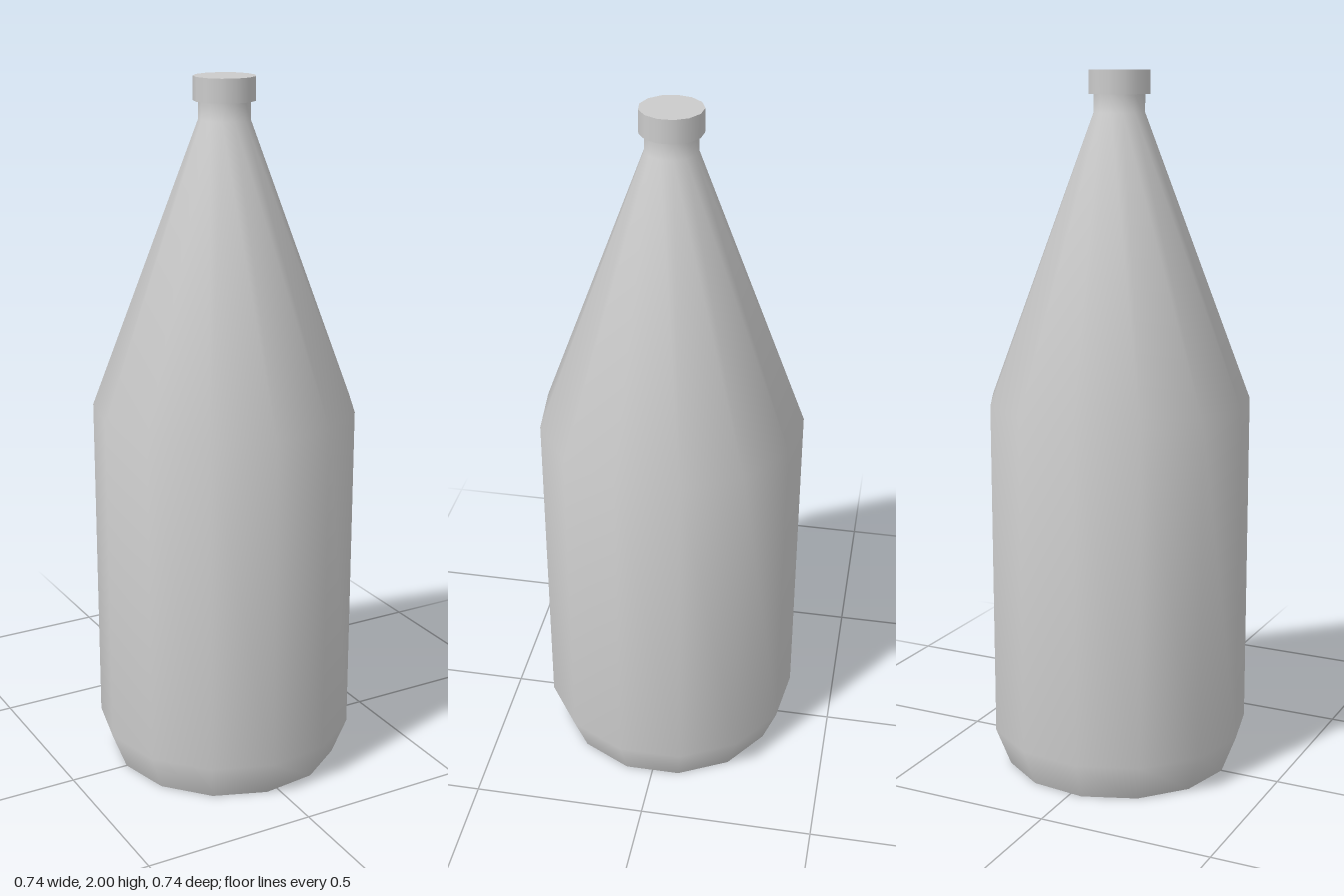
import * as THREE from 'three';
import { mergeGeometries } from 'three/addons/utils/BufferGeometryUtils.js';

const SIDES = 13;
const material = new THREE.MeshStandardMaterial({ color: 0xcccccc });

// Each profile run is smooth within itself; edges between runs stay sharp.
function turned(name, runs) {
  const parts = runs.map((run) => new THREE.LatheGeometry(
    run.map(([r, y]) => new THREE.Vector2(r, y)), SIDES, -Math.PI / 2));
  const mesh = new THREE.Mesh(mergeGeometries(parts), material);
  mesh.name = name;
  return mesh;
}

export function createModel() {
  const bottle = new THREE.Group();
  bottle.name = 'bottle';

  // Flat base, chamfered foot, straight wall, long tapering shoulder and neck
  bottle.add(turned('body', [
    [[0, 0], [0.332, 0]],
    [[0.332, 0], [0.375, 0.11], [0.375, 1.08], [0.072, 1.885], [0.072, 1.935]],
  ]));

  // Cap overhanging the neck
  bottle.add(turned('cap', [
    [[0, 1.935], [0.086, 1.935]],
    [[0.086, 1.935], [0.086, 2]],
    [[0.086, 2], [0, 2]],
  ]));

  // The odd number of sides puts the axis slightly off the middle of the width
  bottle.position.x = 0.005;
  const model = new THREE.Group();
  model.add(bottle);
  return model;
}
